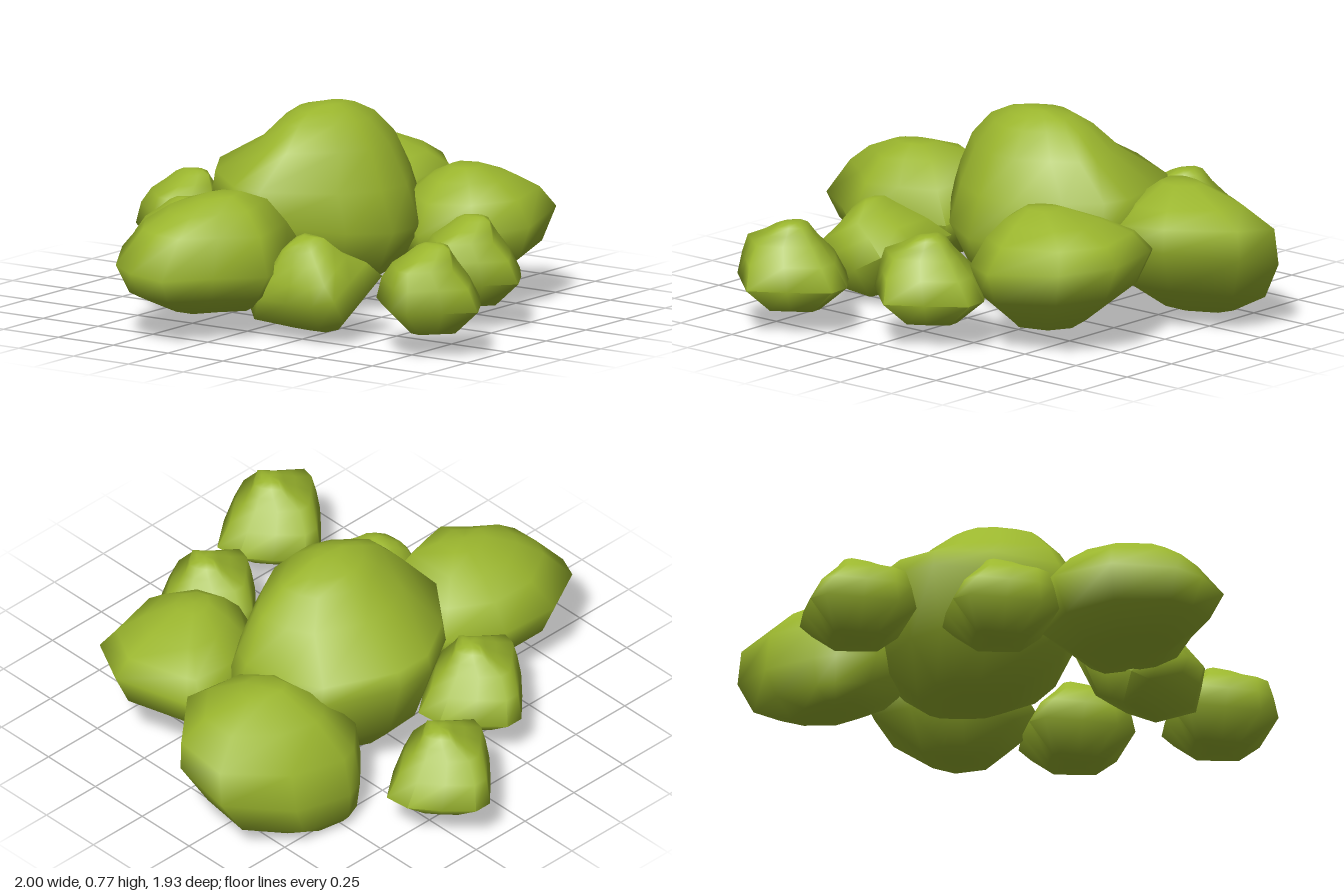
import * as THREE from 'three';
import { toCreasedNormals } from 'three/addons/utils/BufferGeometryUtils.js';

// Closed lump lofted from one footprint [x, z] about a centre.
// Each level: [y, scaleX, scaleZ, centreX, centreZ, slopeX, slopeZ]
function lump([cx, cz], footprint, levels) {
  const ring = footprint
    .map(([x, z]) => [x - cx, z - cz])
    .sort((a, b) => Math.atan2(a[1], a[0]) - Math.atan2(b[1], b[0]));
  const n = ring.length;
  const pos = [];
  const index = [];
  for (const [y, sx, sz, lx, lz, tx = 0, tz = 0] of levels) {
    for (const [x, z] of ring) {
      pos.push(lx + x * sx, y + x * sx * tx + z * sz * tz, lz + z * sz);
    }
  }
  const first = levels[0];
  const last = levels[levels.length - 1];
  const bottom = n * levels.length;
  const top = bottom + 1;
  pos.push(first[3], first[0], first[4], last[3], last[0] + 0.003, last[4]);
  for (let j = 0; j < n; j++) {
    const k = (j + 1) % n;
    for (let i = 0; i < levels.length - 1; i++) {
      const a = i * n;
      const b = a + n;
      index.push(a + j, b + j, a + k, a + k, b + j, b + k);
    }
    const t = bottom - n;
    index.push(bottom, j, k, top, t + k, t + j);
  }
  const geometry = new THREE.BufferGeometry();
  geometry.setAttribute('position', new THREE.Float32BufferAttribute(pos, 3));
  geometry.setIndex(index);
  return toCreasedNormals(geometry, 1.45);
}

export function createModel() {
  const model = new THREE.Group();
  model.name = 'leafCluster';
  const leaf = new THREE.MeshStandardMaterial({ color: 0x9bb62e });
  leaf.name = 'leafGreen';

  const add = (name, geometry) => {
    const mesh = new THREE.Mesh(geometry, leaf);
    mesh.name = name;
    model.add(mesh);
    return mesh;
  };

  // Tall middle lump, leaning to +x
  add('centreClump', lump([-0.12, -0.1],
    [[-0.03, -0.545], [0.07, -0.5], [0.17, -0.37], [0.28, -0.2], [0.28, -0.03], [0.19, 0.14], [-0.05, 0.34],
      [-0.18, 0.34], [-0.4, 0.17], [-0.52, -0.02], [-0.52, -0.18], [-0.38, -0.45], [-0.22, -0.52]],
    [
      [0.06, 0.42, 0.45, -0.15, -0.1],
      [0.19, 0.82, 0.8, -0.12, -0.1, -0.06],
      [0.38, 1, 1, -0.12, -0.1, -0.16],
      [0.49, 0.91, 0.95, -0.14, -0.1, -0.06],
      [0.62, 0.6, 0.7, -0.07, -0.09],
      [0.71, 0.39, 0.49, -0.06, -0.085],
      [0.745, 0.26, 0.32, -0.06, -0.085],
      [0.765, 0.1, 0.15, -0.04, -0.085],
    ]));

  // Wide lump at the front
  add('frontClump', lump([-0.12, 0.6],
    [[-0.42, 0.45], [-0.42, 0.7], [-0.3, 0.91], [-0.2, 0.96], [-0.06, 0.96],
      [0.05, 0.79], [0.18, 0.63], [0.14, 0.45], [0.08, 0.25], [-0.3, 0.25]],
    [
      [0.1, 0.52, 0.5, -0.1, 0.57],
      [0.17, 0.86, 0.85, -0.12, 0.6, -0.04],
      [0.28, 1.02, 1, -0.12, 0.6, -0.1, -0.05],
      [0.4, 0.8, 0.74, -0.11, 0.58, -0.05],
      [0.475, 0.54, 0.52, -0.1, 0.57, 0, -0.05],
      [0.515, 0.22, 0.24, -0.09, 0.56, 0.05, -0.05],
    ]));

  // Tilted lump at the back, low on the -x side
  add('backRightClump', lump([-0.28, -0.65],
    [[-0.39, -0.97], [-0.17, -0.97], [0.02, -0.76], [0.01, -0.53], [-0.13, -0.36],
      [-0.45, -0.31], [-0.56, -0.42], [-0.59, -0.5], [-0.55, -0.74]],
    [
      [0.015, 0.4, 0.44, -0.41, -0.55, 0.1],
      [0.11, 0.83, 0.82, -0.32, -0.62, 0.2, -0.05],
      [0.25, 1, 0.99, -0.28, -0.65, 0.25, -0.08],
      [0.37, 0.94, 0.97, -0.27, -0.65, 0.15, -0.1],
      [0.46, 0.65, 0.66, -0.25, -0.64, 0.05, -0.06],
      [0.535, 0.22, 0.25, -0.24, -0.62],
    ]));

  // Lump at the back on the +x side
  add('backLeftClump', lump([0.3, -0.48],
    [[0.01, -0.7], [0.05, -0.72], [0.34, -0.81], [0.54, -0.7], [0.62, -0.42],
      [0.5, -0.23], [0.3, -0.16], [0.1, -0.3], [0.0, -0.5]],
    [
      [0.07, 0.42, 0.4, 0.28, -0.42],
      [0.2, 0.86, 0.85, 0.3, -0.47, 0, -0.08],
      [0.32, 1, 1, 0.3, -0.48, 0, -0.1],
      [0.41, 0.8, 0.82, 0.3, -0.48, 0, -0.04],
      [0.47, 0.52, 0.55, 0.31, -0.46],
      [0.515, 0.2, 0.22, 0.32, -0.43],
    ]));

  // Small sprigs share one knobbed shape, centred at its own widest level
  const sprig = lump([0, 0],
    [[-0.05, -0.22], [0.05, -0.23], [0.15, -0.1], [0.23, 0.03], [0.14, 0.13], [0.05, 0.23],
      [-0.04, 0.21], [-0.14, 0.12], [-0.24, 0.02], [-0.24, -0.05], [-0.15, -0.14]],
    [
      [-0.095, 0.5, 0.5, 0, 0],
      [0, 1, 1, 0, 0],
      [0.085, 0.85, 0.84, 0, 0.02],
      [0.15, 0.6, 0.68, 0, 0.04],
      [0.185, 0.44, 0.44, 0.005, 0.015],
      [0.215, 0.32, 0.27, 0.01, 0],
      [0.228, 0.2, 0.14, 0.01, 0],
    ]);
  const sprigs = [
    ['sprigLeftFront', 0.77, 0.4],
    ['sprigLeftBack', 0.585, -0.11],
    ['sprigRightFront', -0.47, 0.24],
    ['sprigRightBack', -0.76, -0.2],
  ];
  for (const [name, x, z] of sprigs) add(name, sprig).position.set(x, 0.18, z);

  // One sprig is turned and tipped forward beside the front lump
  const tipped = add('sprigTipped', sprig);
  tipped.position.set(0.24, 0.155, 0.385);
  tipped.rotation.set(0.5, 0.75, 0);
  tipped.scale.setScalar(1.06);

  return model;
}
